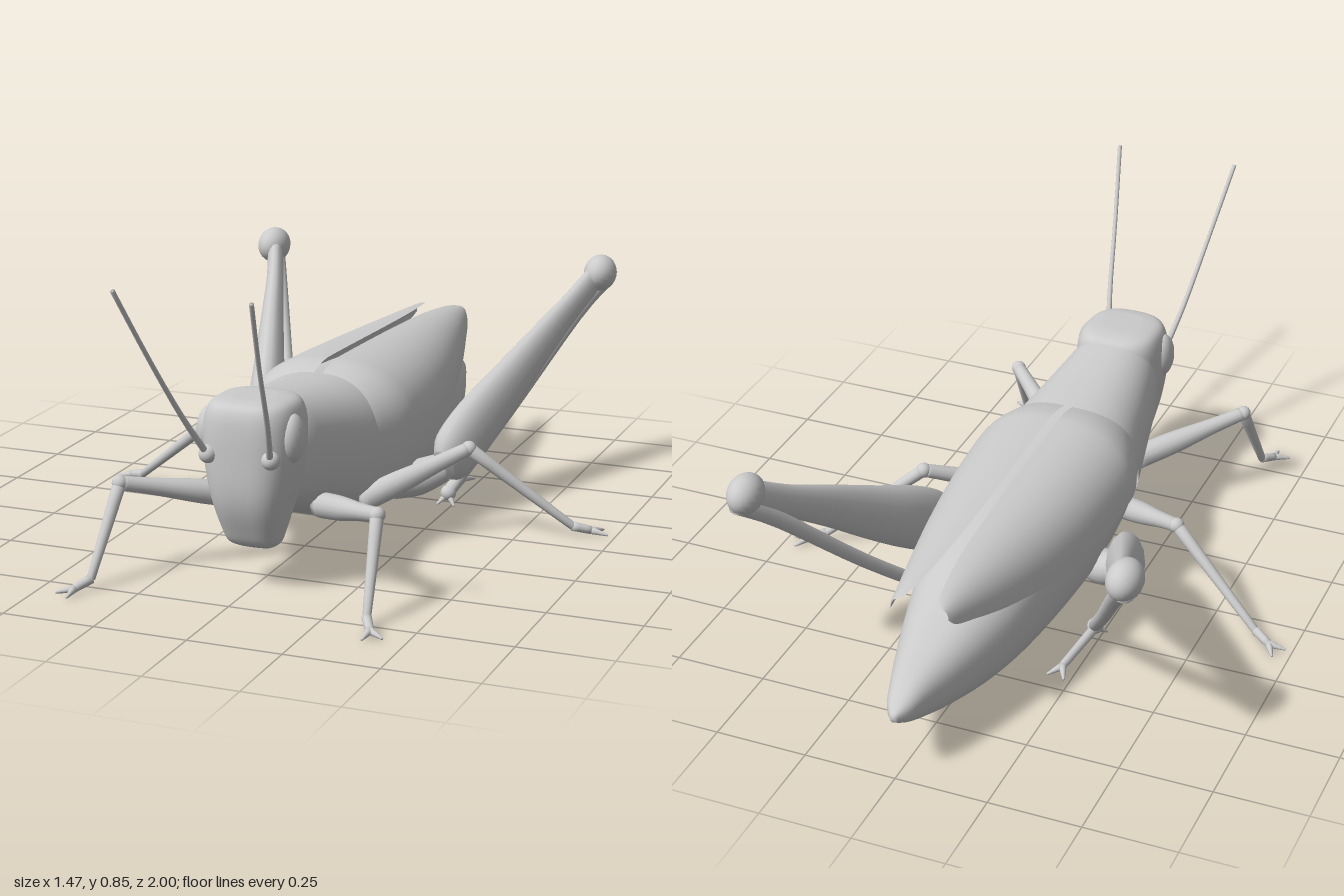
import * as THREE from 'three';

const mat = new THREE.MeshStandardMaterial({ color: 0xcccccc, side: THREE.DoubleSide });
const V = (x, y, z) => new THREE.Vector3(x, y, z);
const sup = (c, e) => Math.sign(c) * Math.pow(Math.abs(c), 2 / e);

// Catmull-Rom sampling of a table of numbers, t in 0..1
function sample(rows, t) {
  const f = Math.min(Math.max(t, 0), 1) * (rows.length - 1);
  const i = Math.min(Math.floor(f), rows.length - 2), u = f - i;
  const at = (k) => rows[Math.min(Math.max(k, 0), rows.length - 1)];
  const [p, a, b, n] = [at(i - 1), at(i), at(i + 1), at(i + 2)];
  return a.map((_, k) => {
    const m0 = (b[k] - p[k]) / 2, m1 = (n[k] - a[k]) / 2;
    return a[k] + u * (m0 + u * (3 * (b[k] - a[k]) - 2 * m0 - m1 + u * (2 * (a[k] - b[k]) + m0 + m1)));
  });
}
const smooth = (rows, n) => Array.from({ length: n + 1 }, (_, i) => sample(rows, i / n));

// Skin over rings of points; closed rings get end caps
function skin(name, rings, closed = true) {
  const mid = (r) => {
    const c = r.reduce((s, p) => s.add(p), V(0, 0, 0)).divideScalar(r.length);
    return r.map(() => c);
  };
  const all = closed ? [mid(rings[0]), ...rings, mid(rings[rings.length - 1])] : rings;
  const n = rings[0].length, index = [];
  for (let i = 0; i < all.length - 1; i++) {
    for (let j = 0; j < (closed ? n : n - 1); j++) {
      const a = i * n + j, b = i * n + (j + 1) % n;
      index.push(a, b, a + n, b, b + n, a + n);
    }
  }
  const g = new THREE.BufferGeometry().setFromPoints(all.flat());
  g.setIndex(index);
  g.computeVertexNormals();
  const m = new THREE.Mesh(g, mat);
  m.name = name;
  return m;
}

// Tapered limb through rows of [x, y, z, radius]; flat squeezes it sideways
function limb(name, rows, flat = 1, n = 12) {
  const pts = smooth(rows, n), last = pts[n];
  const d = V(last[0] - pts[0][0], last[1] - pts[0][1], last[2] - pts[0][2]).normalize();
  const u = V(0, 1, 0).cross(d).normalize(), v = d.clone().cross(u);
  return skin(name, pts.map(([x, y, z, r]) => Array.from({ length: 14 }, (_, j) => {
    const a = j / 14 * Math.PI * 2;
    return V(x, y, z).addScaledVector(u, Math.cos(a) * r * flat).addScaledVector(v, Math.sin(a) * r);
  })));
}

function ball(name, x, y, z, rx, ry = rx, rz = rx) {
  const m = new THREE.Mesh(new THREE.SphereGeometry(1, 20, 14), mat);
  m.position.set(x, y, z);
  m.scale.set(rx, ry, rz);
  m.name = name;
  return m;
}

// Body sections from tail to neck: z, bottom, top, half width
const BODY = [
  [-1, .175, .195, .008], [-.96, .15, .222, .035], [-.9, .125, .248, .057], [-.8, .093, .275, .09],
  [-.65, .06, .315, .133], [-.5, .045, .36, .166], [-.3, .037, .40, .19], [-.1, .037, .42, .2],
  [.1, .05, .44, .193], [.2, .075, .45, .182], [.3, .11, .46, .164], [.4, .15, .472, .146],
  [.5, .18, .485, .128], [.56, .21, .475, .1],
];
const bodyPoint = ([z, lo, hi, w], a, grow = 1) =>
  V(sup(Math.cos(a), 2.4) * w * grow, (lo + hi) / 2 + sup(Math.sin(a), 2.4) * (hi - lo) / 2 * grow, z);

function bodyAt(z) {
  let i = 0;
  while (i < BODY.length - 2 && BODY[i + 1][0] < z) i++;
  const t = (z - BODY[i][0]) / (BODY[i + 1][0] - BODY[i][0]);
  return BODY[i].map((v, k) => v + (BODY[i + 1][k] - v) * t);
}

function foot(leg, ankle, toe) {
  const [ax, ay, az] = ankle, [tx, ty, tz] = toe;
  leg.add(limb('tarsus', [[ax, ay, az, .013], [tx, ty, tz, .011]], 1, 3));
  const d = V(tx - ax, 0, tz - az).normalize();
  for (const s of [-1, 1]) {
    const ex = tx + (d.x * .8 + d.z * s * .5) * .05, ez = tz + (d.z * .8 - d.x * s * .5) * .05;
    leg.add(limb('claw', [[tx, ty, tz, .011], [ex, .008, ez, .003]], 1, 3));
  }
}

function walkingLeg(name, hip, knee, ankle, toe) {
  const leg = new THREE.Group();
  leg.name = name;
  const mix = (t) => hip.map((h, k) => h + (knee[k] - h) * t);
  leg.add(limb('femur', [[...hip, .034], [...mix(.35), .032], [...mix(.7), .023], [...knee, .019]]));
  leg.add(ball('knee', ...knee, .021));
  leg.add(limb('tibia', [[...knee, .018], [...ankle, .011]], 1, 4));
  foot(leg, ankle, toe);
  return leg;
}

function hindLeg() {
  const leg = new THREE.Group();
  leg.name = 'hindLeg';
  leg.add(limb('coxa', [[.13, .11, -.04, .05], [.2, .12, -.08, .05], [.27, .15, -.11, .04]]));
  leg.add(limb('femur', [
    [.272, .155, -.09, .05], [.283, .18, -.13, .084], [.315, .245, -.23, .088], [.36, .325, -.36, .074],
    [.41, .415, -.5, .057], [.46, .5, -.64, .043], [.5, .565, -.74, .04],
  ], .58, 24));
  leg.add(ball('knee', .51, .575, -.755, .046, .052, .062));
  leg.add(limb('tibia', [[.52, .56, -.785, .028], [.46, .465, -.68, .022], [.34, .23, -.45, .019], [.235, .035, -.235, .018]]));
  leg.add(ball('heel', .235, .033, -.235, .022));
  foot(leg, [.235, .028, -.235], [.215, .018, -.42]);
  for (const s of [-1, 1]) leg.add(limb('spur', [[.235, .03, -.235, .012], [.235 + s * .025, .004, -.21, .003]], 1, 3));
  return leg;
}

// Folded wing: z, inner x, outer x, top y, lower edge y
function wing() {
  const rows = smooth([
    [.23, .012, .17, .425, .30], [.16, .012, .2, .452, .295], [.08, .012, .228, .47, .285], [0, .012, .235, .47, .278],
    [-.2, .012, .222, .462, .268], [-.4, .013, .192, .453, .275], [-.6, .018, .147, .443, .308],
    [-.75, .032, .107, .432, .35], [-.81, .045, .09, .424, .37], [-.83, .058, .078, .418, .39],
  ], 40).reverse();
  return skin('wing', rows.map(([z, xi, xo, top, low]) => Array.from({ length: 17 }, (_, j) => {
    const a = j / 16 * Math.PI / 2;
    return V(xi + (xo - xi) * sup(Math.cos(a), 2.3), low + (top - low) * sup(Math.sin(a), 2.3), z);
  })), false);
}

function sideParts() {
  const g = new THREE.Group();
  g.add(wing(), hindLeg());
  g.add(walkingLeg('frontLeg', [.11, .175, .4], [.352, .25, .635], [.375, .03, .765], [.4, .016, .81]));
  g.add(walkingLeg('middleLeg', [.14, .13, .21], [.375, .245, .005], [.64, .03, -.09], [.685, .016, -.115]));
  g.add(ball('eye', .112, .41, .6, .032, .064, .047));
  g.add(ball('antennaSocket', .085, .37, .675, .024));
  g.add(limb('antenna', [[.085, .37, .68, .009], [.115, .49, .765, .007], [.145, .66, .88, .006], [.178, .85, .998, .006]]));
  return g;
}

export function createModel() {
  const model = new THREE.Group();
  const angles = Array.from({ length: 40 }, (_, j) => j / 40 * Math.PI * 2);
  model.add(skin('body', smooth(BODY, 65).map((r) => angles.map((a) => bodyPoint(r, a)))));

  // Saddle shield behind the head, with a curved rear edge
  const shield = Array.from({ length: 19 }, (_, i) => Array.from({ length: 41 }, (_, j) => {
    const a = (-.16 + 1.32 * j / 40) * Math.PI;
    const rear = .2 - .1 * Math.sin(a);
    return bodyPoint(bodyAt(rear + (.53 - rear) * i / 18), a, 1.05);
  }));
  model.add(skin('pronotum', shield, false));

  // Head slices: y, back z, front z, half width
  const head = smooth([
    [.11, .55, .6, .05], [.125, .535, .625, .07], [.16, .52, .645, .082], [.22, .49, .672, .098], [.28, .46, .686, .112],
    [.36, .45, .69, .124], [.43, .45, .69, .124], [.475, .455, .684, .115], [.498, .475, .668, .095], [.506, .52, .63, .05],
  ], 36);
  model.add(skin('head', head.map(([y, zb, zf, w]) => angles.map((a) =>
    V(sup(Math.sin(a), 2.8) * w, y, (zb + zf) / 2 + sup(Math.cos(a), 2.8) * (zf - zb) / 2)))));

  const left = sideParts(), right = sideParts();
  left.name = 'leftSide';
  right.name = 'rightSide';
  right.scale.x = -1;
  model.add(left, right);
  return model;
}
